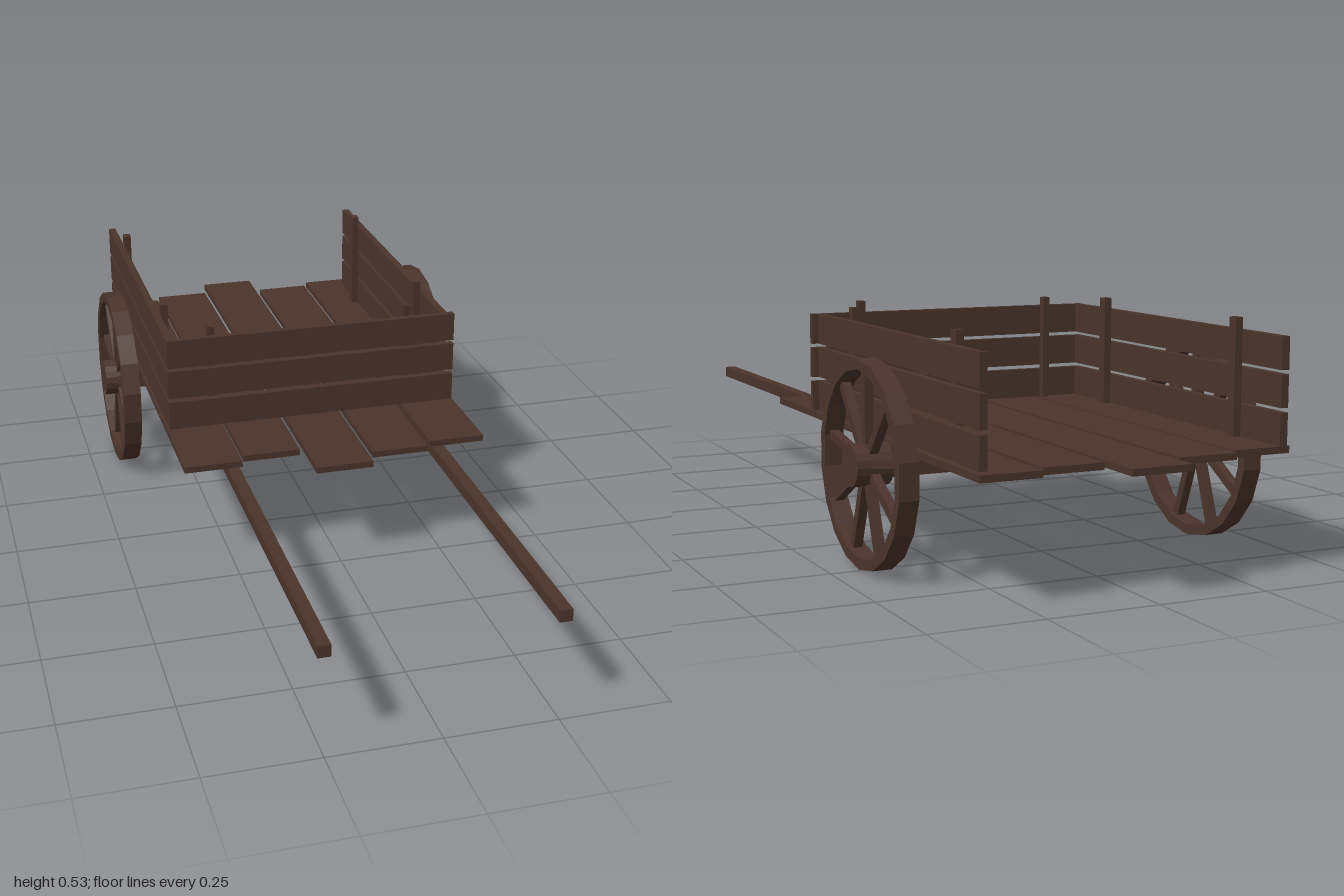
import * as THREE from 'three';

const wood = new THREE.MeshStandardMaterial({ color: 0x4b342c, flatShading: true });
wood.name = 'darkWood';

function add(parent, name, geometry) {
  const mesh = new THREE.Mesh(geometry, wood);
  mesh.name = name;
  parent.add(mesh);
  return mesh;
}

// Box given by its lower and upper limits on each axis
function beam(parent, name, [x0, x1], [y0, y1], [z0, z1]) {
  const mesh = add(parent, name, new THREE.BoxGeometry(x1 - x0, y1 - y0, z1 - z0));
  mesh.position.set((x0 + x1) / 2, (y0 + y1) / 2, (z0 + z1) / 2);
  return mesh;
}

const WHEEL_R = 0.226, RIM_IN = 0.203, AXLE_Z = -0.49;

function makeWheel() {
  const wheel = new THREE.Group();
  // Rim: rectangular section turned into an 18-sided ring
  const section = [[WHEEL_R, -0.022], [WHEEL_R, 0.022], [RIM_IN, 0.022], [RIM_IN, -0.022], [WHEEL_R, -0.022]]
    .map(([r, h]) => new THREE.Vector2(r, h));
  add(wheel, 'rim', new THREE.LatheGeometry(section, 18, Math.PI / 2)).rotation.z = Math.PI / 2;
  add(wheel, 'hub', new THREE.CylinderGeometry(0.046, 0.046, 0.082, 18)).rotation.z = Math.PI / 2;
  // Nine spokes, one pointing straight up
  for (let i = 0; i < 9; i++) {
    const geometry = new THREE.BoxGeometry(0.02, 0.18, 0.02).translate(0, 0.12, 0);
    add(wheel, 'spoke', geometry).rotation.x = (i / 9) * Math.PI * 2;
  }
  return wheel;
}

export function createModel() {
  const cart = new THREE.Group();
  cart.name = 'handCart';

  // Deck planks of uneven length
  const planks = [
    [-0.366, -0.228, -0.905, 0.204],
    [-0.22, -0.083, -0.93, 0.178],
    [-0.07, 0.067, -1, 0.284],
    [0.08, 0.216, -0.915, 0.236],
    [0.229, 0.364, -0.94, 0.215],
  ];
  for (const [x0, x1, z0, z1] of planks) beam(cart, 'deckPlank', [x0, x1], [0.26, 0.275], [z0, z1]);

  // Three rows of boards on the front and both sides
  for (const y of [0.275, 0.355, 0.434]) {
    const rows = [y, y + 0.07];
    beam(cart, 'frontBoard', [-0.36, 0.363], rows, [-0.028, -0.012]);
    beam(cart, 'leftBoard', [0.331, 0.348], rows, [-0.905, -0.028]);
    beam(cart, 'rightBoard', [-0.36, -0.342], rows, [-0.905, -0.028]);
  }

  // Posts inside the boards
  for (const z of [-0.195, -0.75]) {
    beam(cart, 'leftPost', [0.313, 0.331], [0.26, 0.532], [z - 0.012, z + 0.012]);
    beam(cart, 'rightPost', [-0.342, -0.324], [0.26, 0.532], [z - 0.012, z + 0.012]);
  }
  beam(cart, 'frontPost', [0.236, 0.253], [0.26, 0.532], [-0.046, -0.028]);
  beam(cart, 'frontPost', [-0.258, -0.241], [0.26, 0.525], [-0.046, -0.028]);

  // Axle, pulling shafts and wheels
  beam(cart, 'axle', [-0.37, 0.37], [0.2, 0.26], [AXLE_Z - 0.028, AXLE_Z + 0.028]);
  for (const side of [-1, 1]) {
    const x = side * 0.25;
    beam(cart, side > 0 ? 'leftShaft' : 'rightShaft', [x - 0.014, x + 0.014], [0.233, 0.26], [AXLE_Z, 1]);
    const wheel = makeWheel();
    wheel.name = side > 0 ? 'leftWheel' : 'rightWheel';
    wheel.position.set(side * 0.41, WHEEL_R, AXLE_Z);
    cart.add(wheel);
  }
  return cart;
}
